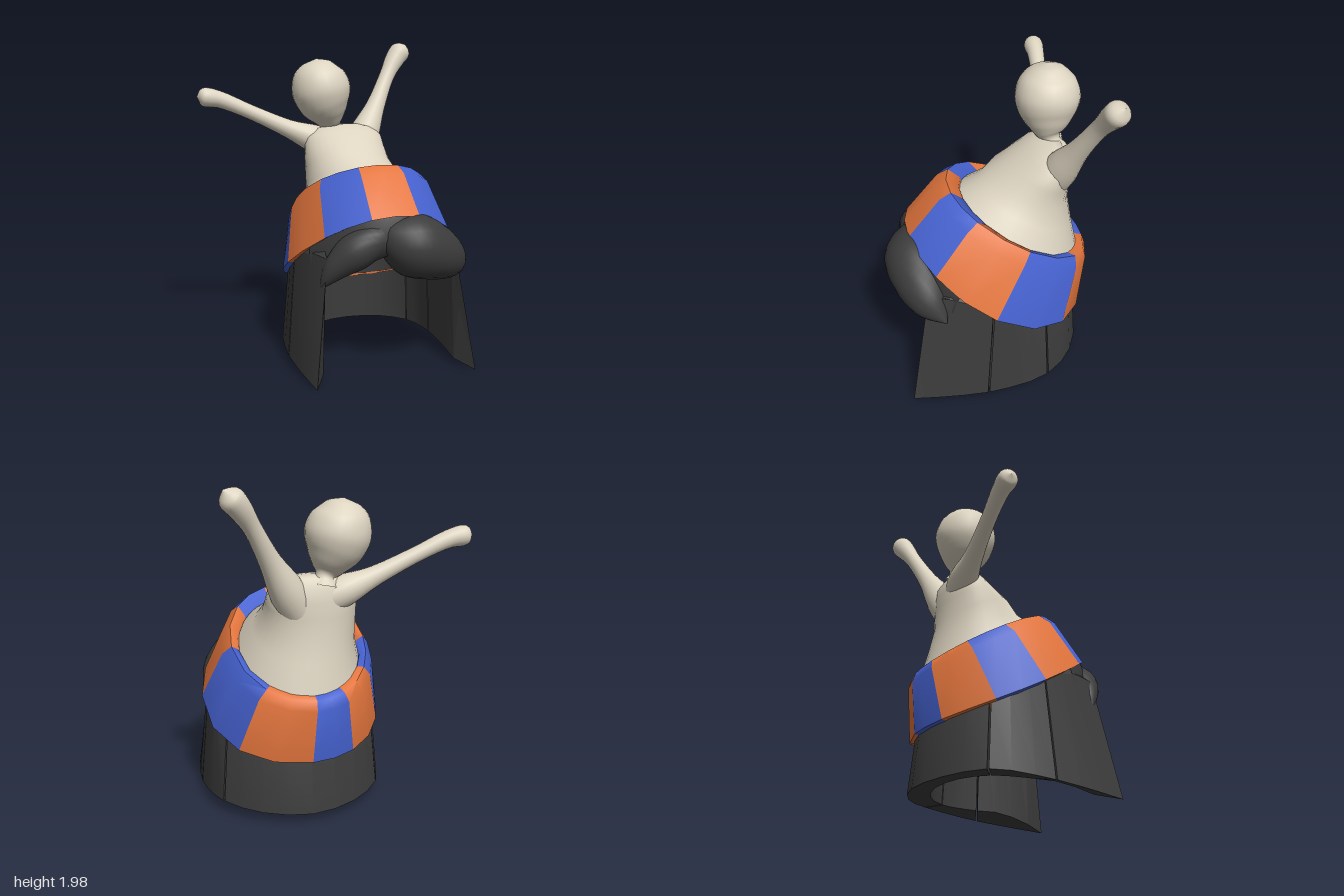
import * as THREE from 'three';
import { toCreasedNormals } from 'three/addons/utils/BufferGeometryUtils.js';

const mat = (name, color, side = THREE.FrontSide) => {
  const m = new THREE.MeshStandardMaterial({ color, side });
  m.name = name;
  return m;
};
const V = (x, y, z) => new THREE.Vector3(x, y, z);
const CX = 0.22;

// Surface through rows of points; rows climb, points run anticlockwise seen from above
function grid(rows, closed) {
  const n = rows[0].length, index = [];
  const cols = closed ? n : n - 1;
  for (let i = 0; i < rows.length - 1; i++) {
    for (let j = 0; j < cols; j++) {
      const k = (j + 1) % n;
      const a = i * n + j, b = i * n + k, c = a + n, d = b + n;
      index.push(a, b, d, a, d, c);
    }
  }
  const g = new THREE.BufferGeometry().setFromPoints(rows.flat());
  g.setIndex(index);
  g.computeVertexNormals();
  return g;
}

// Round form swept along a path; each stop is [x, y, z, radius]
function limb(stops, steps = 24, sides = 20) {
  const path = new THREE.CatmullRomCurve3(stops.map(s => V(s[0], s[1], s[2])));
  const radius = new THREE.CatmullRomCurve3(stops.map((s, i) => V(s[3], i, 0)), false, 'catmullrom', 0.5);
  const rows = [];
  for (let i = 0; i <= steps; i++) {
    const t = i / steps, p = path.getPoint(t);
    const r = Math.max(0, radius.getPoint(t).x);
    const q = new THREE.Quaternion().setFromUnitVectors(V(0, 1, 0), path.getTangent(t));
    rows.push(Array.from({ length: sides }, (_, j) => {
      const a = j / sides * Math.PI * 2;
      return V(Math.sin(a) * r, 0, Math.cos(a) * r).applyQuaternion(q).add(p);
    }));
  }
  return grid(rows, true);
}

// Heights of the tilted band's two edges
const bandLow = z => 0.635 + 0.58 * z + 0.28 * z * z;
const bandTop = z => 1.12 + 0.585 * z;

// Points up the band's section at one angle, from hidden inner edge over to the lip
function bandSection(a) {
  const s = Math.sin(a), c = Math.cos(a);
  const st = Math.sin(a + 0.14 * s), ct = Math.cos(a + 0.14 * s);
  const zl = -0.025 + 0.545 * c, zt = -0.165 + 0.425 * ct, zi = -0.175 + 0.36 * ct;
  const low = V(CX + 0.55 * s, bandLow(zl), zl);
  const top = V(0.2 + 0.41 * st, bandTop(zt) + 0.005, zt);
  const shoulder = low.clone().lerp(top, 0.82).add(V(0.024 * s, 0.012, 0.022 * c));
  return [
    V(CX + 0.43 * s, low.y + 0.012, 0.403 * c), V(CX + 0.43 * s, low.y, 0.403 * c),
    low, shoulder, top,
    V(0.2 + 0.37 * st, bandTop(zi) - 0.01, zi),
    V(0.2 + 0.34 * st, bandTop(zi) - 0.1, zi - 0.02 * ct),
  ];
}

// Full plan outline mirrored from one half, front +x round the back to front -x
function outline(half) {
  const other = half.slice(0, -1).reverse().map(([x, y, z]) => [-x, y, z]);
  return new THREE.CatmullRomCurve3([...half, ...other].map(([x, y, z]) => V(CX + x, y, z)));
}

export function createModel() {
  const model = new THREE.Group();
  const skin = mat('skin beige', 0xdcd3c0);
  const orange = mat('band orange', 0xe3753d, THREE.DoubleSide);
  const blue = mat('band blue', 0x4662d0, THREE.DoubleSide);
  const dark = mat('hair charcoal', 0x3c3c3c, THREE.DoubleSide);
  const add = (name, geometry, material) => {
    const m = new THREE.Mesh(geometry, material);
    m.name = name;
    model.add(m);
    return m;
  };

  // Torso: tilted ellipses [cx, cy, cz, rx, rz, slope]
  const torso = [
    [0.2, 0.93, -0.17, 0.38, 0.385, 0.58], [0.2, 1.0, -0.185, 0.355, 0.355, 0.58],
    [0.18, 1.1, -0.22, 0.305, 0.285, 0.5], [0.155, 1.21, -0.25, 0.28, 0.23, 0.44],
    [0.155, 1.3, -0.305, 0.272, 0.175, 0.45], [0.16, 1.375, -0.345, 0.262, 0.13, 0.45],
    [0.165, 1.43, -0.375, 0.21, 0.09, 0.35], [0.165, 1.46, -0.385, 0.12, 0.045, 0.15],
    [0.165, 1.465, -0.385, 0, 0, 0],
  ].map(([cx, cy, cz, rx, rz, slope]) => Array.from({ length: 32 }, (_, j) => {
    const a = j / 32 * Math.PI * 2, z = rz * Math.cos(a);
    return V(cx + rx * Math.sin(a), cy + slope * z, cz + z);
  }));
  add('torso', grid(torso, true), skin);

  // Head with neck, and raised arms
  add('head', limb([
    [0.105, 1.4, -0.39, 0.085], [0.095, 1.45, -0.38, 0.055], [0.08, 1.485, -0.372, 0.085],
    [0.06, 1.54, -0.368, 0.132], [0.035, 1.61, -0.366, 0.174], [0.012, 1.7, -0.366, 0.194],
    [-0.008, 1.8, -0.368, 0.165], [-0.016, 1.87, -0.37, 0.09], [-0.02, 1.895, -0.37, 0],
  ], 32, 24), skin);
  add('leftArm', limb([
    [0.22, 1.2, -0.35, 0.1], [0.32, 1.38, -0.395, 0.105], [0.43, 1.57, -0.46, 0.065],
    [0.54, 1.77, -0.535, 0.052], [0.62, 1.89, -0.58, 0.068], [0.67, 1.945, -0.598, 0.066],
    [0.705, 1.985, -0.615, 0],
  ]), skin);
  add('rightArm', limb([
    [0.12, 1.3, -0.35, 0.1], [-0.02, 1.365, -0.385, 0.095], [-0.2, 1.44, -0.395, 0.06],
    [-0.45, 1.555, -0.41, 0.047], [-0.65, 1.64, -0.42, 0.054], [-0.73, 1.655, -0.42, 0.062],
    [-0.77, 1.66, -0.42, 0.05], [-0.795, 1.66, -0.42, 0],
  ]), skin);

  // Band of alternating panels, angles measured from the front
  const edges = [-180, -151, -116, -84, -47, -17, 14, 44, 84, 133, 180];
  for (let i = 0; i < edges.length - 1; i++) {
    const cols = [0, 0.5, 1].map(t =>
      bandSection(THREE.MathUtils.degToRad(edges[i] + (edges[i + 1] - edges[i]) * t)));
    const rows = cols[0].map((_, r) => cols.map(c => c[r]));
    add('bandPanel' + (i + 1), toCreasedNormals(grid(rows, false), 1.1), i % 2 ? orange : blue);
  }

  // Hair curtain: thick panels around the sides and back, parted by narrow slits
  const outerPlan = [[0.41, 0.42], [0.475, 0.22], [0.51, 0.02], [0.465, -0.26], [0.29, -0.45], [0, -0.54]];
  const innerPlan = [[0.43, 0.4], [0.415, 0.2], [0.42, 0], [0.38, -0.22], [0.24, -0.36], [0, -0.42]];
  const loops = [
    outline(outerPlan.map(([x, z]) => [x, Math.min(bandLow(z) + 0.01, 0.76), z])),
    outline([[0.51, 0.01, 0.545], [0.545, 0.035, 0.3], [0.56, 0.06, 0.05],
      [0.5, 0.09, -0.28], [0.3, 0.075, -0.48], [0, 0.065, -0.57]]),
    outline(innerPlan.map(([x, z], i) => [x, i ? 0.09 : 0.04, z])),
    outline(innerPlan.map(([x, z], i) => [x * 0.94, i ? 0.84 + 0.1 * z : 0.76, z * 0.94])),
  ];
  const parts = [0, 0.188, 0.31, 0.69, 0.812, 1];
  for (let p = 0; p < 5; p++) {
    const u0 = parts[p] + (p > 0 ? 0.002 : 0), u1 = parts[p + 1] - (p < 4 ? 0.002 : 0);
    const n = p === 2 ? 8 : 3;
    const rows = Array.from({ length: n + 1 }, (_, i) =>
      loops.map(l => l.getPoint(u0 + (u1 - u0) * i / n)));
    const centre = row => row.map(() => row.reduce((s, v) => s.add(v), V(0, 0, 0)).divideScalar(4));
    const closed = [centre(rows[0]), ...rows, centre(rows[n])];
    add('hairPanel' + (p + 1), toCreasedNormals(grid(closed, true), 0.35), dark);
  }

  // Crown roofing the hollow inside the hair
  const crown = add('hairCrown', new THREE.SphereGeometry(1, 28, 16), dark);
  crown.scale.set(0.42, 0.04, 0.41);
  crown.rotation.x = -0.1;
  crown.position.set(CX, 0.84, -0.01);

  // Hairline below the band's front, arching over the opening
  const brow = Array.from({ length: 17 }, (_, i) => {
    const a = (i / 8 - 1) * 1.05, s = Math.sin(a), c = Math.cos(a);
    const x = 0.54 * s, z = -0.025 + 0.53 * c, y = 0.8 - 0.3 * Math.abs(s) ** 1.5;
    return [V(CX + x * 0.8, y + 0.08, z * 0.8), V(CX + x * 0.93, y, z + 0.03),
      V(CX + x, (y + bandLow(z)) / 2, z + 0.045), V(CX + x, bandLow(z) + 0.01, z)];
  });
  add('hairline', grid(brow[0].map((_, r) => brow.map(b => b[r])), false), dark);

  // Fringe swept to both sides
  add('fringeLeft', limb([
    [0.1, 0.87, 0.45, 0], [0.15, 0.87, 0.455, 0.1], [0.3, 0.83, 0.465, 0.19],
    [0.46, 0.765, 0.445, 0.175], [0.61, 0.685, 0.39, 0.115], [0.72, 0.62, 0.32, 0],
  ]), dark);
  add('fringeRight', limb([
    [0.22, 0.92, 0.42, 0.06], [0.1, 0.87, 0.445, 0.1], [-0.02, 0.8, 0.435, 0.115],
    [-0.12, 0.72, 0.42, 0.085], [-0.18, 0.65, 0.41, 0.05], [-0.23, 0.57, 0.4, 0],
  ]), dark);

  return model;
}
